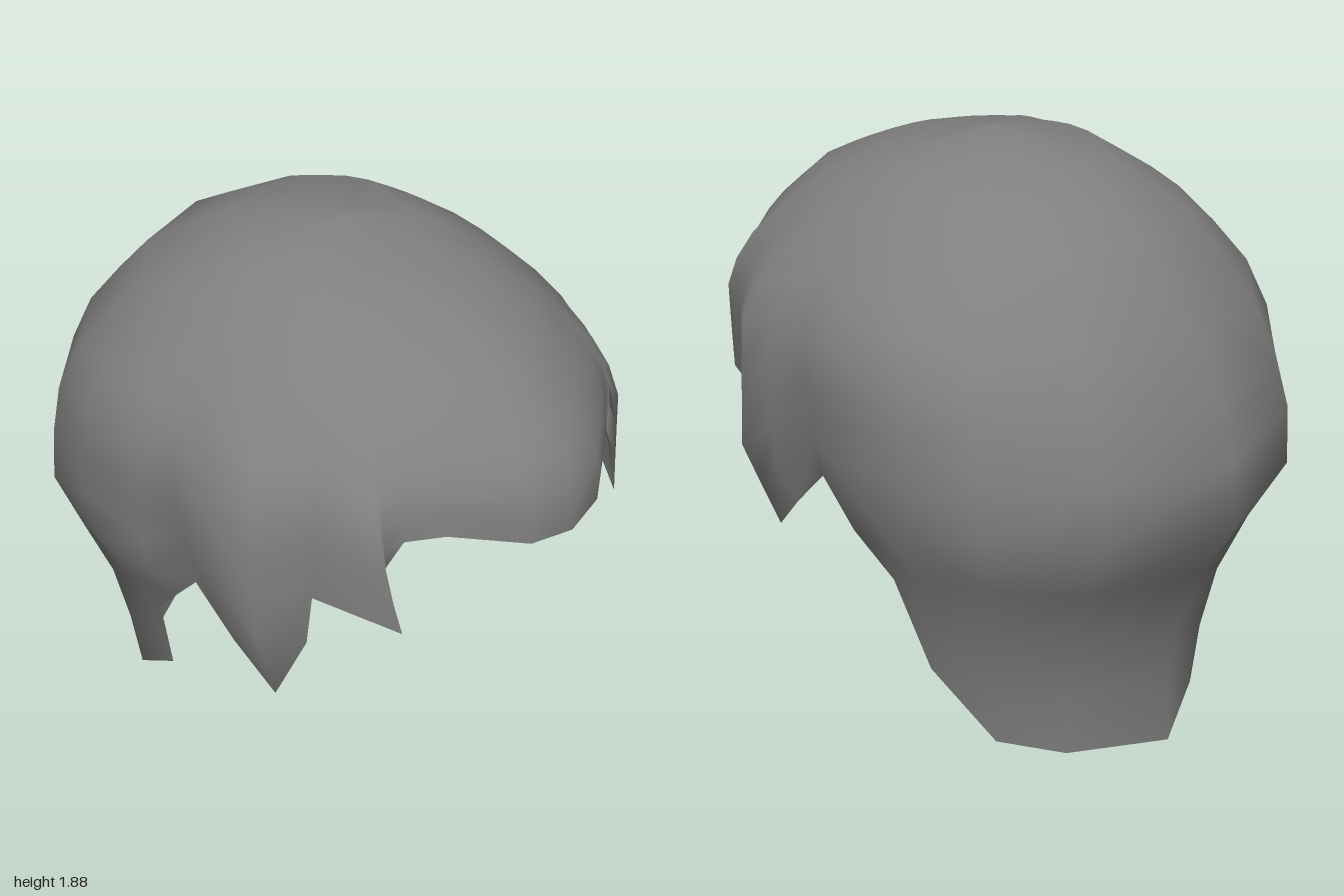
import * as THREE from 'three';

const TOP = 1.88, CZ = 0.04, ROWS = 13;

// Profiles as [height, distance from the axis], listed downwards
const SIDE = [[1.88, 0], [1.84, 0.28], [1.7, 0.49], [1.48, 0.71], [1.31, 0.79], [0.89, 0.785], [0.57, 0.64], [0.25, 0.56], [0, 0.5]];
const FRONT = [[1.88, 0], [1.8, 0.39], [1.675, 0.68], [1.55, 0.83], [1.42, 0.935], [1.3, 0.96], [0.9, 0.95], [0, 0.8]];
const BACK = [[1.88, 0], [1.855, 0.3], [1.69, 0.63], [1.38, 0.88], [1.1, 1.01], [0.85, 1.04], [0.575, 0.86], [0.3, 0.795], [0, 0.805]];

// Ragged hem from forehead to nape: x, y, z and the crown angle its strand grows from
const HEM = [
  [0, 1.21, 1, 0], [0.15, 1.225, 0.97, 9], [0.36, 1.29, 0.83, 23],
  [0.45, 1.275, 0.75, 32], [0.51, 1.175, 0.72, 37], [0.49, 0.98, 0.79, 41],
  [0.63, 1.062, 0.56, 49], [0.61, 0.85, 0.515, 56], [0.63, 0.58, 0.395, 64],
  [0.665, 0.73, 0.25, 75], [0.68, 0.88, 0.1, 86], [0.67, 0.735, -0.03, 97],
  [0.62, 0.59, -0.155, 107], [0.53, 0.255, -0.22, 118], [0.475, 0.07, -0.46, 132],
  [0.3, 0.01, -0.6, 154], [0, 0, -0.765, 180],
];

function sample(table, y) {
  for (let i = 1; i < table.length; i++) {
    const [y0, v0] = table[i - 1], [y1, v1] = table[i];
    if (y >= y1) return v0 + (v1 - v0) * (y0 - y) / (y0 - y1);
  }
  return table[table.length - 1][1];
}

// Radius of the oval head section at a height and angle (0 = front)
function radius(y, angle) {
  const front = Math.cos(angle) > 0, p = front ? 1.9 : 2.2;
  const w = sample(SIDE, y), d = sample(front ? FRONT : BACK, y);
  return Math.pow(Math.pow(Math.abs(Math.sin(angle)) / w, p) + Math.pow(Math.abs(Math.cos(angle)) / d, p), -1 / p);
}

// One strand of points running from just below the crown to the hem
function strand([x, hemY, z, crownDegrees], mirror) {
  const hemAngle = Math.atan2(x, z - CZ);
  const crownAngle = THREE.MathUtils.degToRad(crownDegrees);
  const fit = Math.hypot(x, z - CZ) / radius(hemY, hemAngle);
  const points = [];
  for (let r = 1; r <= ROWS; r++) {
    const s = r / ROWS, blend = s * s * s;
    const y = TOP - (TOP - hemY) * (1 - Math.cos(s * Math.PI / 2));
    const angle = THREE.MathUtils.lerp(crownAngle, hemAngle, blend);
    const rad = radius(y, angle) * THREE.MathUtils.lerp(1, fit, blend);
    points.push(mirror * Math.sin(angle) * rad, y, CZ + Math.cos(angle) * rad);
  }
  return points;
}

export function createModel() {
  const group = new THREE.Group();
  group.name = 'hairpiece';
  const hairGrey = new THREE.MeshStandardMaterial({ color: 0x808080, side: THREE.DoubleSide });
  hairGrey.name = 'hair grey';

  // Left half front to back, then the mirrored half back to front
  const strands = HEM.map(h => strand(h, 1));
  HEM.slice(1, -1).reverse().forEach(h => strands.push(strand(h, -1)));

  const positions = [0, TOP, CZ, ...strands.flat()], index = [];
  const n = strands.length;
  const at = (c, r) => 1 + (c % n) * ROWS + r;
  for (let c = 0; c < n; c++) {
    index.push(0, at(c, 0), at(c + 1, 0));
    for (let r = 0; r < ROWS - 1; r++) {
      const a = at(c, r), b = at(c, r + 1), d = at(c + 1, r), e = at(c + 1, r + 1);
      // Mirror the diagonal so both halves match
      if (c < n / 2) index.push(a, b, d, b, e, d);
      else index.push(a, b, e, a, e, d);
    }
  }
  const geometry = new THREE.BufferGeometry();
  geometry.setAttribute('position', new THREE.Float32BufferAttribute(positions, 3));
  geometry.setIndex(index);
  geometry.computeVertexNormals();

  const hair = new THREE.Mesh(geometry, hairGrey);
  hair.name = 'hairShell';
  group.add(hair);
  return group;
}
